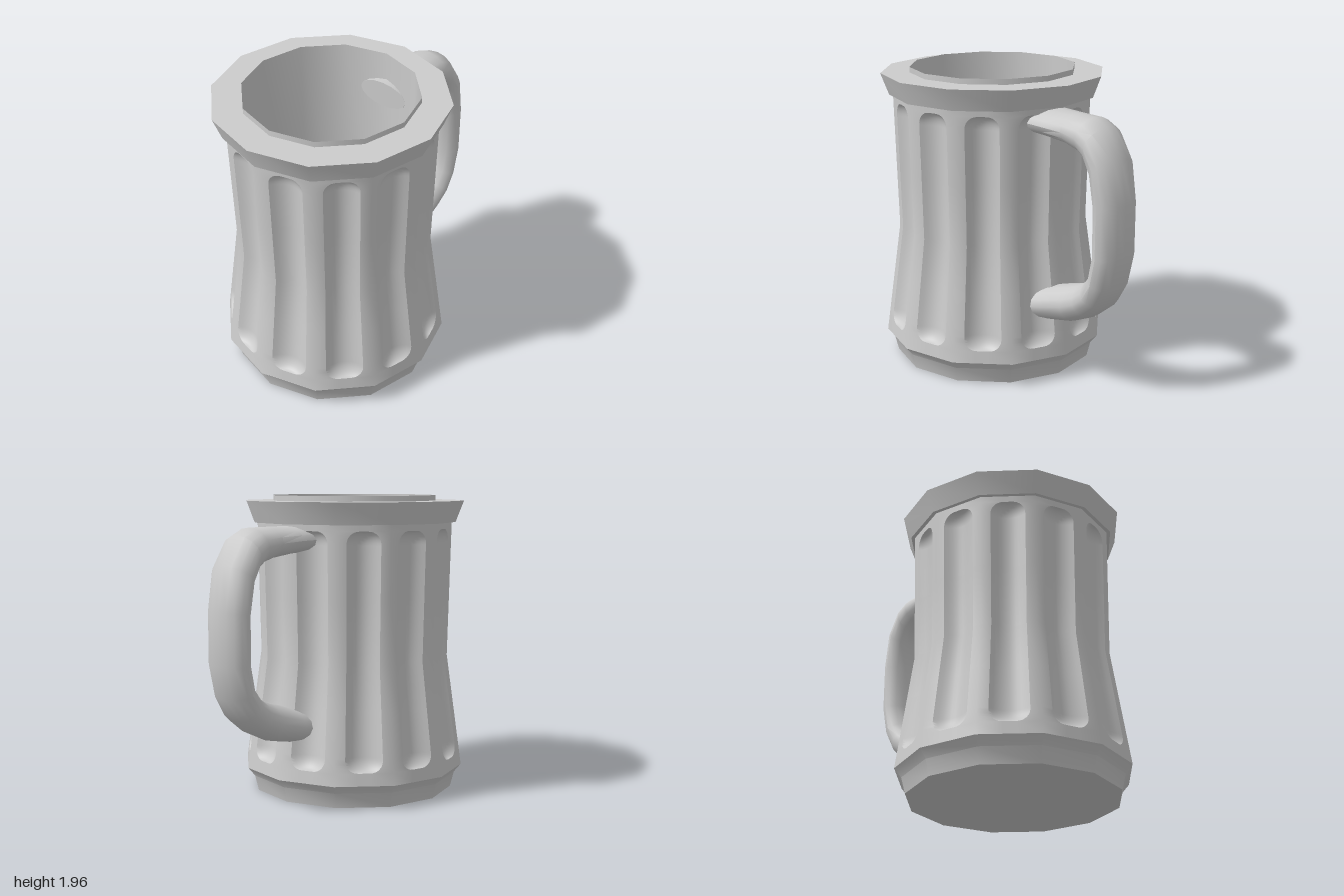
import * as THREE from 'three';
import { toCreasedNormals } from 'three/addons/utils/BufferGeometryUtils.js';

const SIDES = 12, CENTER_Z = 0.256, CREASE = 0.62;
const HALF = Math.PI / SIDES;
const material = new THREE.MeshStandardMaterial({ color: 0xcccccc });
const doubleMaterial = new THREE.MeshStandardMaterial({ color: 0xcccccc, side: THREE.DoubleSide });

// Indexed grid of rows x cols points
function gridGeometry(points, rows, cols, index = [], base = 0) {
  for (let i = 0; i < rows - 1; i++) {
    for (let j = 0; j < cols - 1; j++) {
      const a = base + i * cols + j, b = a + cols;
      index.push(a, a + 1, b, a + 1, b + 1, b);
    }
  }
  return index;
}

function build(points, index) {
  const g = new THREE.BufferGeometry();
  g.setAttribute('position', new THREE.Float32BufferAttribute(points, 3));
  g.setIndex(index);
  return toCreasedNormals(g, CREASE);
}

function addMesh(group, name, geometry, mat = material) {
  const mesh = new THREE.Mesh(geometry, mat);
  mesh.name = name;
  group.add(mesh);
  return mesh;
}

// Twelve-sided ring from a radius / height profile
function ring(profile) {
  const lathe = new THREE.LatheGeometry(profile.map(p => new THREE.Vector2(...p)), SIDES);
  return toCreasedNormals(lathe, CREASE);
}

// Body wall: waisted profile with one rounded flute on each face
const Y0 = 0.155, Y1 = 1.78, WAIST = 0.9, FLUTE0 = 0.235, FLUTE1 = 1.74;
const wallRadius = y => y > WAIST
  ? THREE.MathUtils.mapLinear(y, WAIST, Y1, 0.635, 0.655)
  : THREE.MathUtils.mapLinear(y, Y0, WAIST, 0.74, 0.635);

function flutedWall() {
  const END = 0.09, CORNER = 0.08, DEPTH = 0.05, STEPS = 8;
  const heights = [Y0];
  for (let i = 0; i <= STEPS; i++) heights.push(FLUTE0 + END * (1 - Math.cos(i / STEPS * Math.PI / 2)));
  heights.push(0.6, WAIST, 1.3);
  for (let i = STEPS; i >= 0; i--) heights.push(FLUTE1 - END * (1 - Math.cos(i / STEPS * Math.PI / 2)));
  heights.push(Y1);

  const points = [], index = [], across = 10, cols = across + 3;
  for (let k = 0; k < SIDES; k++) {
    const mid = (2 * k + 1) * HALF, s = Math.sin(mid), c = Math.cos(mid);
    gridGeometry(points, heights.length, cols, index, points.length / 3);
    for (const y of heights) {
      const r = wallRadius(y), face = r * Math.sin(HALF);
      const t = Math.max(0, Math.min(y - FLUTE0, FLUTE1 - y));
      const q = 1 - Math.min(1, t / CORNER), e = 1 - Math.min(1, t / END);
      const w = 0.64 * face - CORNER + CORNER * Math.sqrt(1 - q * q);
      const d = DEPTH * Math.sqrt(Math.max(0, 1 - e * e));
      for (let j = 0; j < cols; j++) {
        const v = THREE.MathUtils.clamp((j - 1) / across * 2 - 1, -1, 1);
        const b = j === 0 ? -face : j === cols - 1 ? face : v * w;
        const a = r * Math.cos(HALF) - d * (1 - v * v);
        points.push(a * s + b * c, y, a * c - b * s);
      }
    }
  }
  return build(points, index);
}

// Handle: oval sections spanning an outer and an inner outline [z, y, z, y, half width]
function handleGeometry() {
  const sections = [
    [-0.24, 1.77, -0.24, 1.60, 0.175],
    [-0.42, 1.77, -0.42, 1.595, 0.172],
    [-0.58, 1.77, -0.58, 1.575, 0.15],
    [-0.73, 1.77, -0.69, 1.545, 0.157],
    [-0.83, 1.725, -0.745, 1.505, 0.16],
    [-0.95, 1.55, -0.785, 1.42, 0.16],
    [-1.00, 1.28, -0.81, 1.25, 0.155],
    [-1.00, 0.95, -0.81, 0.95, 0.155],
    [-0.95, 0.74, -0.78, 0.81, 0.155],
    [-0.87, 0.60, -0.72, 0.74, 0.155],
    [-0.75, 0.505, -0.66, 0.705, 0.15],
    [-0.60, 0.435, -0.58, 0.675, 0.15],
    [-0.40, 0.39, -0.40, 0.62, 0.17],
    [-0.24, 0.36, -0.24, 0.585, 0.175],
  ];
  const points = [], index = [], around = 16, cols = around + 1;
  for (const [zo, yo, zi, yi, w] of sections) {
    for (let j = 0; j < cols; j++) {
      const a = (j % around) / around * Math.PI * 2, k = Math.cos(a) / 2;
      points.push(0.012 + w * Math.sin(a), (yo + yi) / 2 + k * (yo - yi), (zo + zi) / 2 + k * (zo - zi));
    }
  }
  gridGeometry(points, sections.length, cols, index);
  // End caps
  const last = (sections.length - 1) * cols;
  for (let j = 1; j < around - 1; j++) {
    index.push(0, j + 1, j, last, last + j, last + j + 1);
  }
  return build(points, index);
}

export function createModel() {
  const model = new THREE.Group();
  model.name = 'mug';

  const vessel = new THREE.Group();
  vessel.name = 'vessel';
  vessel.position.z = CENTER_Z;
  model.add(vessel);

  addMesh(vessel, 'flutedWall', flutedWall());
  addMesh(vessel, 'base', ring([[0, 0], [0.67, 0], [0.695, 0.1], [0.74, Y0], [0.6, Y0]]));
  addMesh(vessel, 'rim', ring([[0.6, Y1], [0.68, Y1], [0.733, 1.92], [0.545, 1.92]]));
  addMesh(vessel, 'liner', ring([[0.545, 1.955], [0.545, 0.2], [0, 0.2]]), doubleMaterial);

  addMesh(model, 'handle', handleGeometry(), doubleMaterial);
  return model;
}
